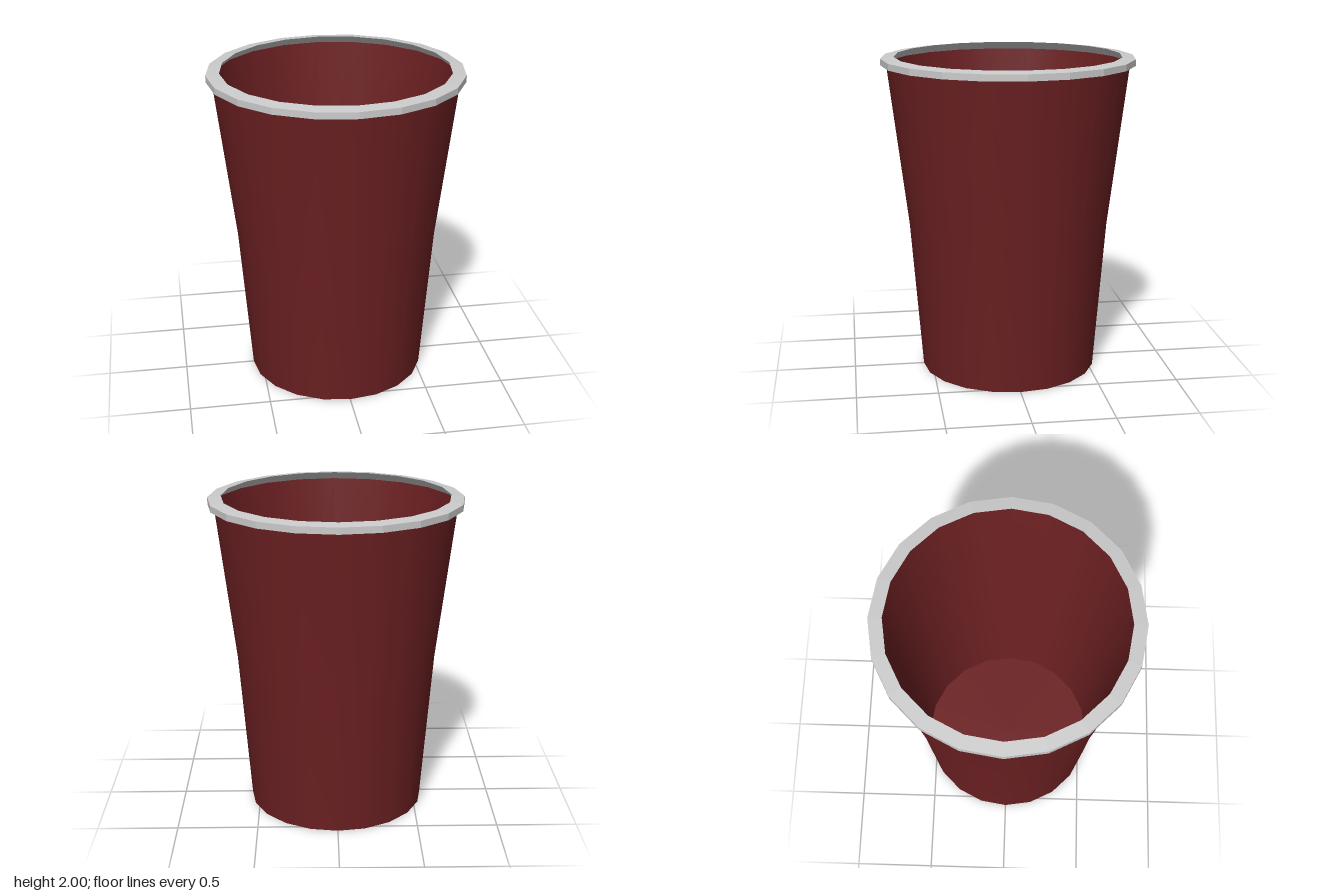
import * as THREE from 'three';

const SIDES = 20;

function lathe(profile, material, name) {
  const points = profile.map(([r, y]) => new THREE.Vector2(r, y));
  const mesh = new THREE.Mesh(new THREE.LatheGeometry(points, SIDES), material);
  mesh.name = name;
  return mesh;
}

export function createModel() {
  const group = new THREE.Group();
  group.name = 'cup';
  const red = new THREE.MeshStandardMaterial({ color: 0x6c2022, side: THREE.DoubleSide });
  const grey = new THREE.MeshStandardMaterial({ color: 0xcccccc, flatShading: true, side: THREE.DoubleSide });

  // Thin tapered wall, flaring more above the middle
  group.add(lathe([[0.555, 0], [0.628, 0.95], [0.75, 1.955]], red, 'wall'));

  // Flat floor, visible from inside and below
  const floor = new THREE.Mesh(new THREE.CircleGeometry(0.555, SIDES), red);
  floor.name = 'floor';
  floor.rotation.x = -Math.PI / 2;
  group.add(floor);

  // Faceted lip, undercut on the inside
  group.add(lathe([[0.75, 1.95], [0.785, 1.95], [0.785, 1.99], [0.703, 2], [0.75, 1.95]], grey, 'rim'));

  return group;
}
